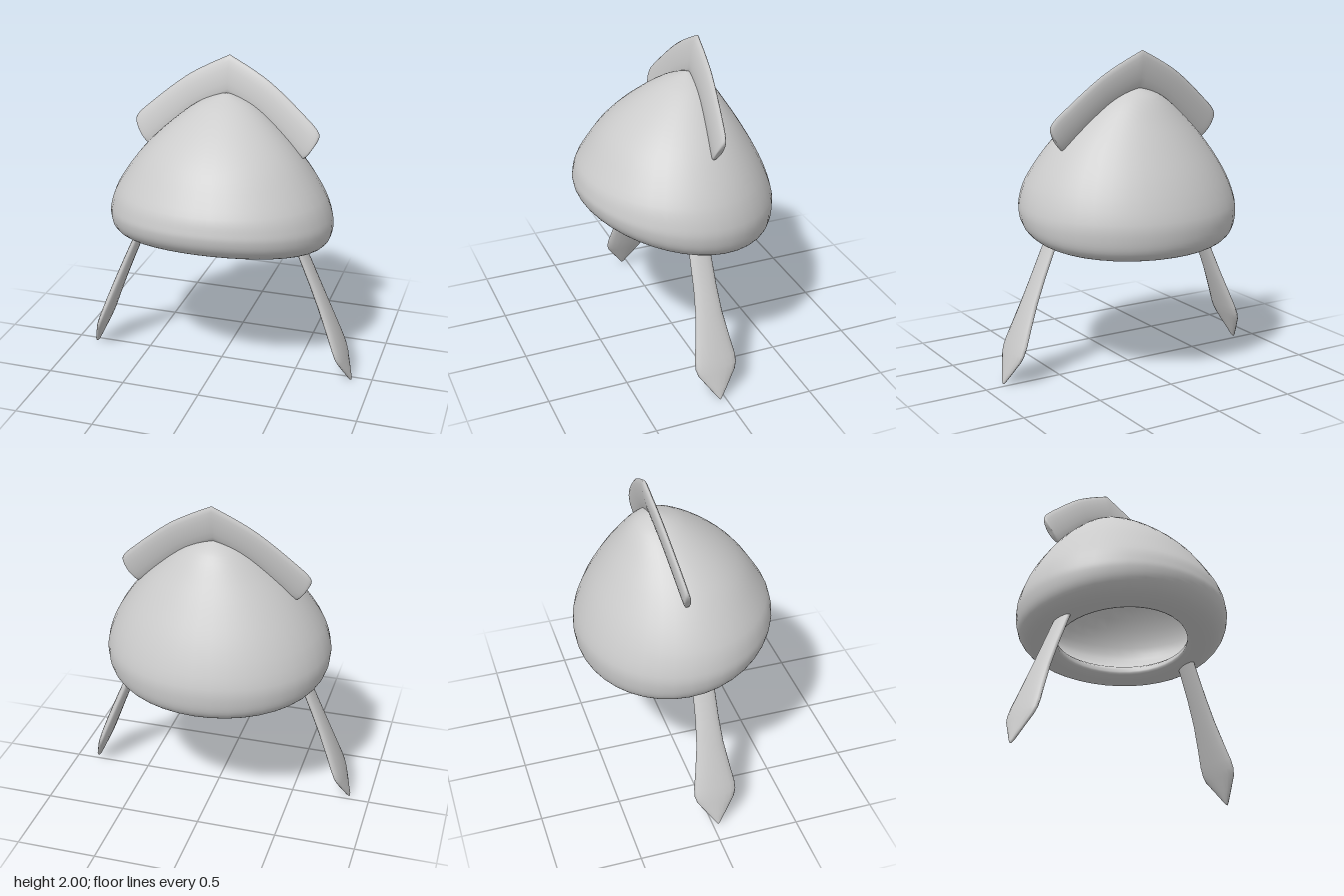
import * as THREE from 'three';

const V = (x, y, z) => new THREE.Vector3(x, y, z);
const material = new THREE.MeshStandardMaterial({ color: 0xcccccc, side: THREE.DoubleSide });

// Samples a smooth curve through the given points.
const smooth = (points, n) => new THREE.CatmullRomCurve3(points, false, 'centripetal').getPoints(n);

// Skins elliptical sections { c: centre, a, b: half axes }, with a x b along the path.
function loft(name, sections, sides, warp = (p) => p) {
  const pos = [], index = [];
  sections.forEach(({ c, a, b }, i) => {
    for (let j = 0; j < sides; j++) {
      const t = (j / sides) * Math.PI * 2;
      const p = warp(c.clone().addScaledVector(a, Math.cos(t)).addScaledVector(b, Math.sin(t)));
      pos.push(p.x, p.y, p.z);
      if (i === 0) continue;
      const k = (j + 1) % sides, r0 = (i - 1) * sides, r1 = i * sides;
      index.push(r0 + j, r0 + k, r1 + j, r0 + k, r1 + k, r1 + j);
    }
  });
  const geo = new THREE.BufferGeometry();
  geo.setAttribute('position', new THREE.Float32BufferAttribute(pos, 3));
  geo.setIndex(index);
  geo.computeVertexNormals();
  const mesh = new THREE.Mesh(geo, material);
  mesh.name = name;
  return mesh;
}

// Hollow shell: profile points are (radius, height, centre z), outside down then inside up.
function makeShell() {
  const outer = smooth([
    V(0.001, 1.778, -0.1), V(0.06, 1.762, -0.095), V(0.18, 1.71, -0.075), V(0.37, 1.56, -0.02),
    V(0.52, 1.4, 0.01), V(0.65, 1.2, 0.012), V(0.695, 1.07, 0), V(0.7, 1.0, 0),
    V(0.68, 0.92, 0), V(0.63, 0.87, 0), V(0.55, 0.848, 0), V(0.48, 0.853, 0), V(0.43, 0.872, 0),
  ], 48);
  const inner = smooth([
    V(0.43, 0.872, 0), V(0.44, 0.91, 0), V(0.54, 0.97, 0), V(0.6, 1.06, 0), V(0.57, 1.2, 0.01),
    V(0.44, 1.38, 0.01), V(0.28, 1.53, -0.02), V(0.1, 1.64, -0.07), V(0.001, 1.67, -0.09),
  ], 24).slice(1);
  const sections = [...outer, ...inner].map((p) => ({
    c: V(0, p.y, p.z), a: V(p.x, 0, 0), b: V(0, 0, p.x * 0.868),
  }));
  // The lower part lifts towards the front; the effect fades out upwards.
  return loft('shell', sections, 40, (p) => {
    const fade = 1 - THREE.MathUtils.smoothstep(p.y, 0.82, 1.36);
    p.y += (0.165 * p.z + 0.1 * p.z * p.z) * fade;
    return p;
  });
}

// Chevron crest: a lens-shaped band between a top and a bottom edge, leaning back.
function makeCrest() {
  const top = smooth([V(0, 2, 0), V(0.14, 1.93, 0), V(0.275, 1.85, 0), V(0.485, 1.68, 0),
    V(0.57, 1.6, 0), V(0.587, 1.565, 0), V(0.575, 1.525, 0), V(0.55, 1.485, 0)], 28);
  const bottom = smooth([V(0, 1.765, 0), V(0.11, 1.715, 0), V(0.22, 1.65, 0), V(0.4, 1.495, 0),
    V(0.465, 1.435, 0), V(0.495, 1.42, 0), V(0.525, 1.445, 0), V(0.549, 1.484, 0)], 28);
  const half = top.map((t, i) => {
    const c = t.clone().add(bottom[i]).multiplyScalar(0.5);
    const thick = 0.024 * Math.sqrt(Math.max(0, 1 - Math.pow(i / 28, 6)));
    return { c, a: t.clone().sub(c), b: V(0, 0, thick) };
  });
  const flip = (v) => V(-v.x, v.y, v.z);
  const mirrored = half.slice(1).reverse().map((s) => ({ c: flip(s.c), a: flip(s.a), b: s.b }));
  return loft('crest', [...mirrored, ...half], 16, (p) => {
    p.z += -0.165 - (p.y - 2) * 0.18;
    return p;
  });
}

// Splayed leg ending in a flat, pointed foot: stations are (height, half width, half thickness).
function makeLeg(side) {
  const stations = [
    V(0.93, 0.068, 0.026), V(0.82, 0.069, 0.028), V(0.65, 0.074, 0.031), V(0.5, 0.086, 0.033),
    V(0.35, 0.111, 0.034), V(0.25, 0.13, 0.033), V(0.2, 0.132, 0.031), V(0.16, 0.119, 0.028),
    V(0.08, 0.062, 0.021), V(0.02, 0.018, 0.014), V(0.003, 0.005, 0.006), V(0, 0.0005, 0.0005),
  ];
  const sections = stations.map(({ x: y, y: width, z: thick }) => {
    const bow = 0.02 * Math.sin(Math.PI * Math.min(1, y / 0.9));
    return {
      c: V(side * (0.868 - 0.4 * y + bow * 0.5), y, 0.035),
      a: V(thick, 0, 0), b: V(0, 0, width),
    };
  });
  return loft(side > 0 ? 'leftLeg' : 'rightLeg', sections, 16);
}

export function createModel() {
  const model = new THREE.Group();
  model.name = 'model';
  model.add(makeShell(), makeCrest(), makeLeg(1), makeLeg(-1));
  return model;
}
